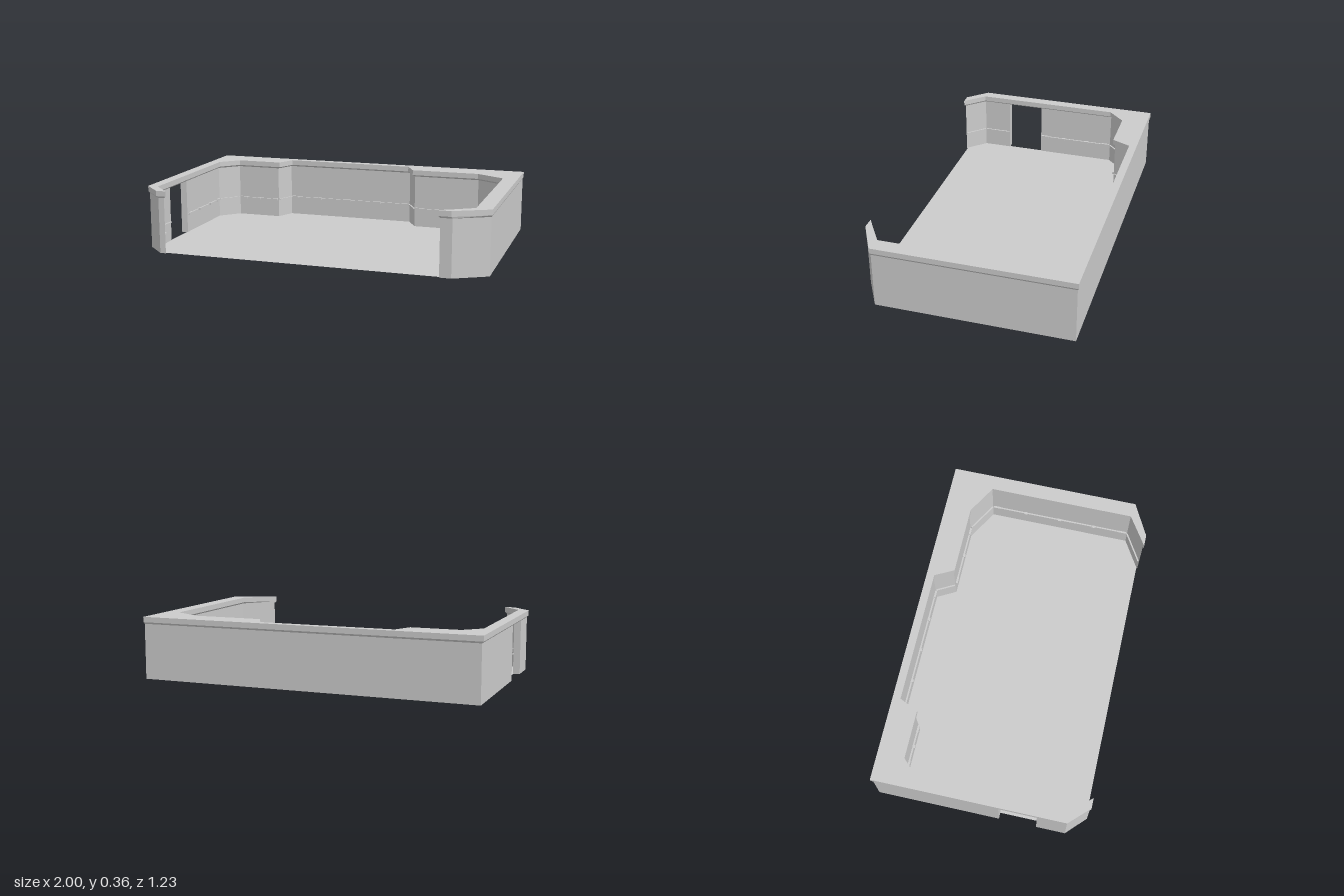
import * as THREE from 'three';
import { mergeGeometries } from 'three/addons/utils/BufferGeometryUtils.js';

// Plan outlines are lists of [x, z]. Inner paths run from the front left round to the front right.
const RIM_INNER = [
  [-0.83, 0.614], [-0.938, 0.5], [-0.938, -0.36], [-0.84, -0.458], [-0.56, -0.458], [-0.51, -0.568],
  [0.275, -0.568], [0.332, -0.458], [0.742, -0.458], [0.912, -0.36], [0.912, 0.5], [0.735, 0.614],
];
const RIM_OUTER = [[0.805, 0.614], [1, 0.512], [1, -0.614], [-1, -0.614], [-1, 0.5], [-0.89, 0.614]];
const WALL_INNER = [
  [-0.845, 0.608], [-0.95, 0.5], [-0.95, -0.365], [-0.845, -0.47], [-0.572, -0.47], [-0.522, -0.58],
  [0.285, -0.58], [0.345, -0.47], [0.745, -0.47], [0.925, -0.365], [0.925, 0.5], [0.745, 0.608],
];
const WALL_OUTER = [[0.81, 0.608], [0.995, 0.505], [0.995, -0.608], [-0.99, -0.608], [-0.99, 0.5], [-0.88, 0.608]];
const DOOR_BACK = 0.11, DOOR_FRONT = 0.33;
const WALL_TOP = 0.322, RIM_EDGE = 0.332, TOP = 0.363;

const grey = new THREE.MeshStandardMaterial({ color: 0xcccccc, side: THREE.DoubleSide });
grey.name = 'plain grey';

// Vertical or sloping faces between matching outlines stacked at rising heights
function loft(levels) {
  const pos = [];
  const area = THREE.ShapeUtils.area(levels[0].pts.map(([x, z]) => new THREE.Vector2(x, z)));
  for (let l = 0; l < levels.length - 1; l++) {
    const lo = levels[l], hi = levels[l + 1], n = lo.pts.length;
    for (let i = 0; i < n; i++) {
      let j = i, k = (i + 1) % n;
      if (area > 0) [j, k] = [k, j];
      const at = (s, q) => [s.pts[q][0], s.y, s.pts[q][1]];
      const a = at(lo, j), b = at(lo, k), c = at(hi, k), d = at(hi, j);
      pos.push(...a, ...b, ...c, ...a, ...c, ...d);
    }
  }
  const g = new THREE.BufferGeometry();
  g.setAttribute('position', new THREE.Float32BufferAttribute(pos, 3));
  g.computeVertexNormals();
  return g;
}

// Flat horizontal face filling an outline
function plate(pts, y) {
  const shape = new THREE.Shape(pts.map(([x, z]) => new THREE.Vector2(x, -z)));
  return new THREE.ShapeGeometry(shape).rotateX(-Math.PI / 2).translate(0, y, 0);
}

// Rail along one wall section, with end cuffs and evenly spaced couplers
function railParts([ax, az], [bx, bz]) {
  const dx = bx - ax, dz = bz - az, len = Math.hypot(dx, dz);
  const parts = [];
  const bar = (along, size, height, depth) => {
    const g = new THREE.BoxGeometry(size, height, depth);
    g.translate(along - len / 2, 0, depth / 2);
    g.rotateY(-Math.atan2(dz, dx));
    g.translate((ax + bx) / 2, 0.116, (az + bz) / 2);
    parts.push(g);
  };
  bar(len / 2, len - 0.01, 0.006, 0.009);
  if (len > 0.21) {
    for (const end of [0.03, len - 0.03]) bar(end, 0.045, 0.013, 0.012);
    const count = Math.floor(len / 0.23);
    for (let i = 1; i <= count; i++) bar((len * i) / (count + 1), 0.018, 0.013, 0.016);
  }
  return parts;
}

export function createModel() {
  const model = new THREE.Group();
  model.name = 'openRoom';
  const add = (name, geometry) => {
    const mesh = new THREE.Mesh(geometry, grey);
    mesh.name = name;
    model.add(mesh);
  };

  // Floor
  add('floor', plate([
    [0.95, 0.508], [0.81, 0.602], [-0.87, 0.602], [-0.955, 0.508], [-0.955, -0.46], [-0.86, -0.47],
    [-0.86, -0.57], [-0.74, -0.595], [0.84, -0.585], [0.84, -0.456], [0.95, -0.456],
  ], 0.002));

  // Hollow walls, parted by the doorway on the right-hand side
  const mainInner = [[-0.95, DOOR_BACK], ...WALL_INNER.slice(2)];
  const postInner = [...WALL_INNER.slice(0, 2), [-0.95, DOOR_FRONT]];
  const mainWall = [...mainInner, ...WALL_OUTER.slice(0, 4), [-0.99, DOOR_BACK]];
  const postWall = [...postInner, [-0.99, DOOR_FRONT], ...WALL_OUTER.slice(4)];
  for (const [name, pts] of [['mainWall', mainWall], ['doorPost', postWall]]) {
    add(name, loft([{ pts, y: 0 }, { pts, y: WALL_TOP }]));
  }

  // Overhanging rim with a bevelled underside
  const wall = [...WALL_INNER, ...WALL_OUTER], rim = [...RIM_INNER, ...RIM_OUTER];
  add('rimEdge', loft([{ pts: wall, y: WALL_TOP }, { pts: rim, y: RIM_EDGE }, { pts: rim, y: TOP }]));
  add('rimTop', plate(rim, TOP));
  add('rimUnderside', plate([...wall].reverse(), WALL_TOP));

  // Wall rails
  const rails = [];
  for (const path of [postInner, mainInner]) {
    for (let i = 0; i < path.length - 1; i++) rails.push(...railParts(path[i], path[i + 1]));
  }
  add('wallRails', mergeGeometries(rails));
  return model;
}
